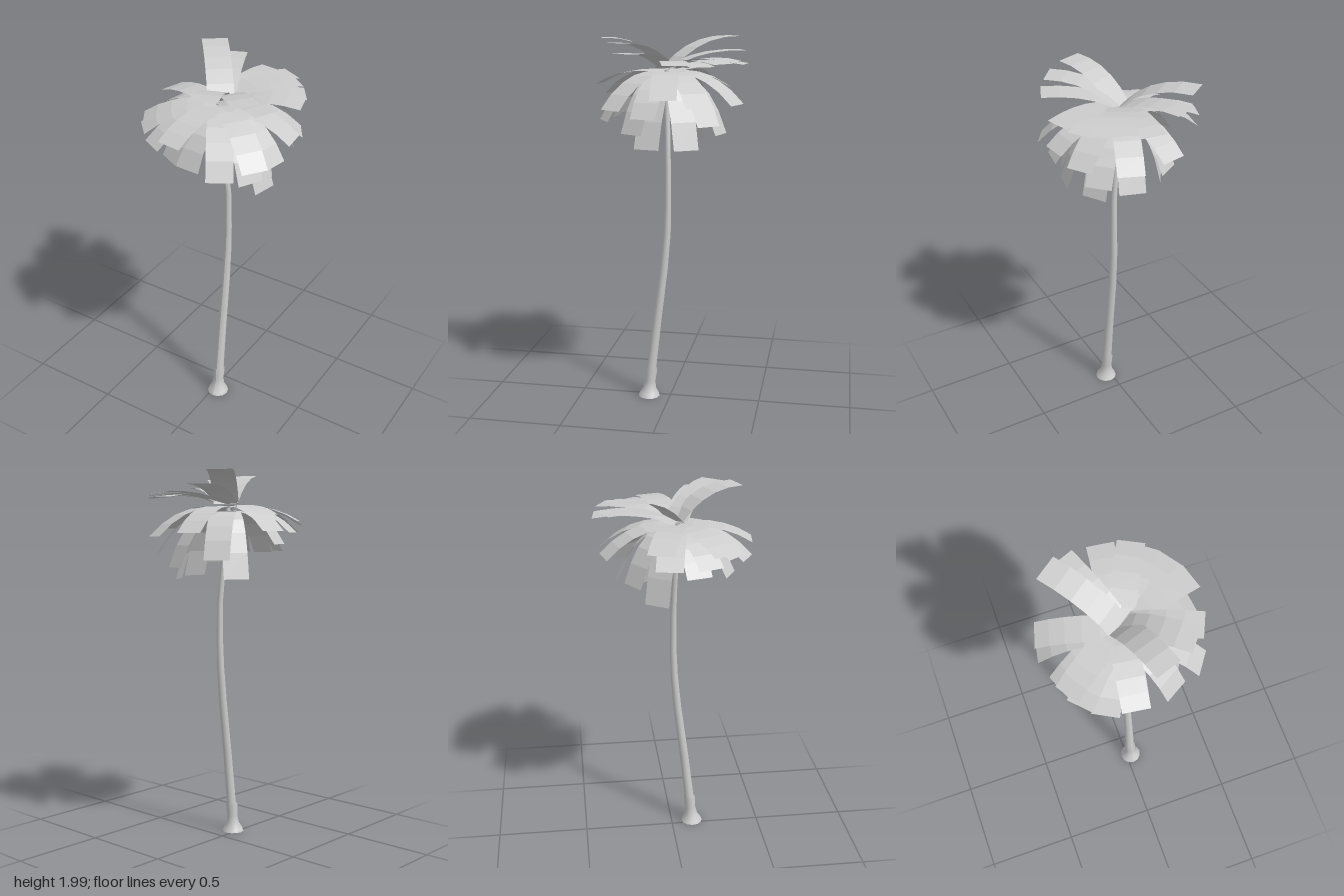
import * as THREE from 'three';

const grey = new THREE.MeshStandardMaterial({ color: 0xcccccc, side: THREE.DoubleSide });
grey.name = 'pale grey';

// Trunk: rings [x, y, z, radius] joined into a smooth, gently leaning open tube
function makeTrunk() {
  const rings = [
    [0.027, 0, 0.118, 0.06], [0.027, 0.015, 0.118, 0.054], [0.026, 0.045, 0.115, 0.036],
    [0.026, 0.09, 0.11, 0.029], [0.026, 0.16, 0.104, 0.033], [0.026, 0.17, 0.102, 0.026],
    [0.026, 0.45, 0.07, 0.024], [0.026, 0.75, 0.032, 0.022], [0.027, 0.95, 0.014, 0.02],
    [0.028, 1.1, 0.009, 0.018], [0.027, 1.3, 0.009, 0.016], [0.013, 1.45, 0.013, 0.015],
    [0.0, 1.6, 0.018, 0.015], [-0.018, 1.75, 0.022, 0.015], [-0.02, 1.82, 0.024, 0.012],
  ];
  const last = rings.length - 1;
  const geo = new THREE.CylinderGeometry(1, 1, 1, 12, last, true);
  const pos = geo.attributes.position;
  for (let i = 0; i < pos.count; i++) {
    const [x, y, z, r] = rings[Math.round((pos.getY(i) + 0.5) * last)];
    pos.setXYZ(i, x + pos.getX(i) * r, y, z + pos.getZ(i) * r);
  }
  geo.computeVertexNormals();
  const mesh = new THREE.Mesh(geo, grey);
  mesh.name = 'trunk';
  return mesh;
}

// Frond: a flat strip bent along a curve from the crown heart to its tip
function makeFrond([x, y, z], { root, bendAt, lift }) {
  const heart = new THREE.Vector3(-0.012, root, 0.015);
  const tip = new THREE.Vector3(x, y, z);
  const bend = heart.clone().lerp(tip, bendAt);
  bend.y = Math.max(root, y) + lift;
  const across = new THREE.Vector3(heart.z - z, 0, x - heart.x).normalize();
  const curve = new THREE.QuadraticBezierCurve3(heart, bend, tip);
  const geo = new THREE.PlaneGeometry(0.135, 1, 1, 5);
  const pos = geo.attributes.position;
  for (let i = 0; i < pos.count; i++) {
    const p = curve.getPoint(pos.getY(i) + 0.5).addScaledVector(across, pos.getX(i));
    pos.setXYZ(i, p.x, p.y, p.z);
  }
  const flat = geo.toNonIndexed();
  flat.computeVertexNormals();
  return new THREE.Mesh(flat, grey);
}

// Crown layers: root height, bend position and lift, then the frond tips
const layers = [
  { name: 'risingFrond', root: 1.83, bendAt: 0.38, lift: 0.01, tips: [
    [0.1, 1.99, 0.345], [-0.255, 1.99, -0.305], [0.27, 1.97, 0.25],
    [-0.165, 1.92, -0.36], [0.34, 1.92, 0.175],
  ] },
  { name: 'spreadingFrond', root: 1.83, bendAt: 0.5, lift: 0.04, tips: [
    [0.04, 1.86, -0.4], [0.18, 1.88, -0.355], [0.24, 1.87, -0.31],
    [0.33, 1.86, -0.22], [0.385, 1.87, -0.095],
  ] },
  { name: 'archingFrond', root: 1.81, bendAt: 0.58, lift: 0.035, tips: [
    [0.38, 1.7, -0.03], [-0.39, 1.77, -0.1], [-0.4, 1.69, -0.06], [-0.36, 1.68, 0.15],
    [-0.34, 1.74, 0.22], [-0.3, 1.72, 0.285], [-0.2, 1.68, 0.355], [-0.065, 1.74, 0.4],
    [0.325, 1.64, 0.25], [0.14, 1.66, -0.37], [0.33, 1.66, -0.2], [-0.1, 1.68, -0.36],
  ] },
  { name: 'hangingFrond', root: 1.79, bendAt: 0.65, lift: 0.03, tips: [
    [0.28, 1.44, 0.075], [0.21, 1.43, -0.12], [0.08, 1.5, -0.28], [-0.19, 1.44, -0.1],
    [-0.16, 1.54, -0.22], [-0.15, 1.58, 0.28], [-0.03, 1.57, 0.3], [0.17, 1.57, 0.32],
    [0.25, 1.51, 0.16], [0.34, 1.6, 0.08], [-0.31, 1.62, 0.1], [0.25, 1.56, -0.24],
  ] },
];

export function createModel() {
  const palm = new THREE.Group();
  palm.name = 'palmTree';
  palm.add(makeTrunk());

  const crown = new THREE.Group();
  crown.name = 'crown';
  for (const layer of layers) {
    layer.tips.forEach((tip, i) => {
      const frond = makeFrond(tip, layer);
      frond.name = layer.name + (i + 1);
      crown.add(frond);
    });
  }
  palm.add(crown);
  return palm;
}
